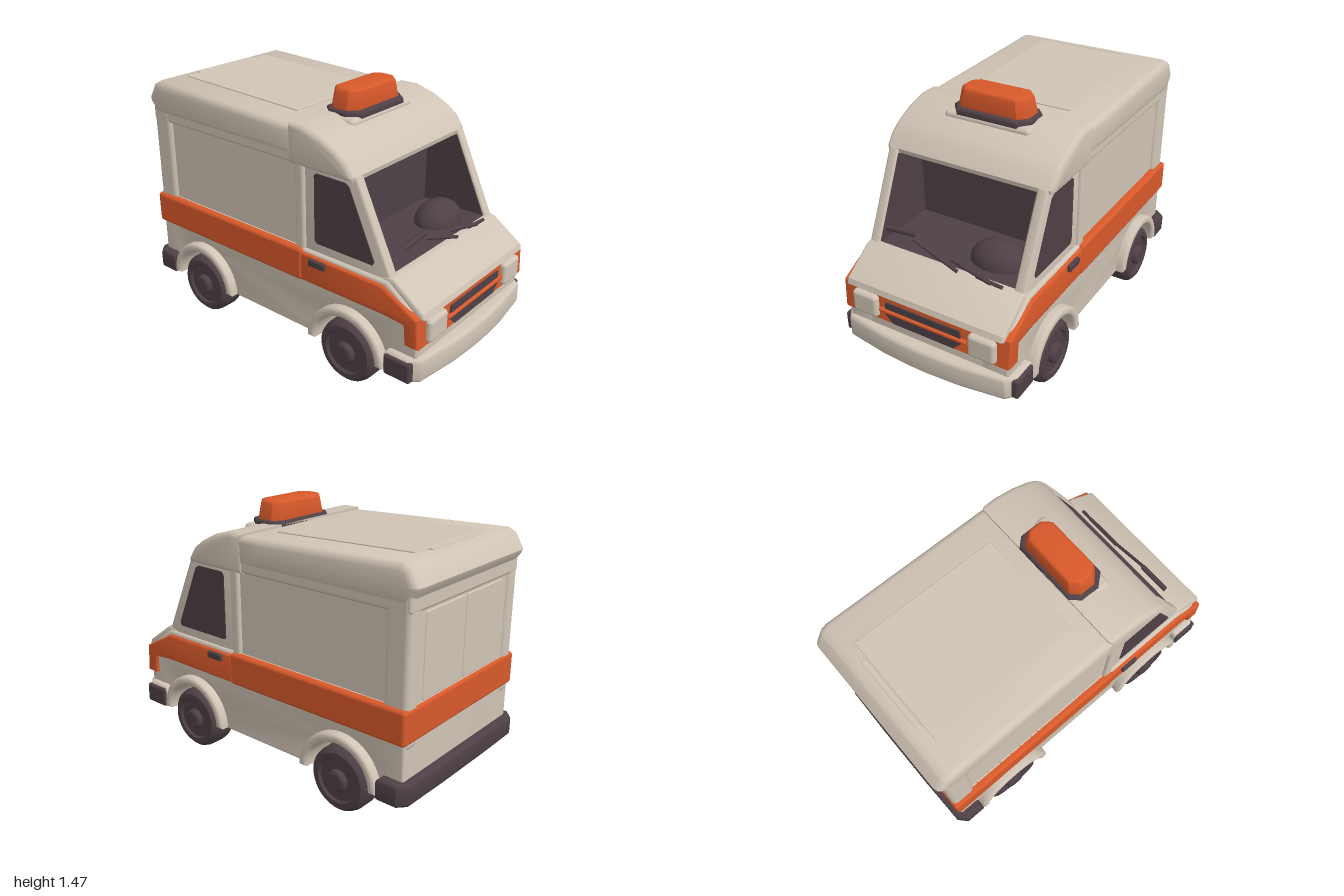
import * as THREE from 'three';
import { toCreasedNormals } from 'three/addons/utils/BufferGeometryUtils.js';
import { RoundedBoxGeometry } from 'three/addons/geometries/RoundedBoxGeometry.js';

const material = (name, color) => Object.assign(new THREE.MeshStandardMaterial({ color }), { name });

export function createModel() {
  const van = new THREE.Group();
  van.name = 'van';
  const cream = material('cream paint', 0xd0c4b5);
  const orange = material('orange paint', 0xd8592a);
  const dark = material('dark trim', 0x4e4046);

  const add = (name, geometry, mat, parent = van) => {
    const mesh = new THREE.Mesh(geometry, mat);
    mesh.name = name;
    parent.add(mesh);
    return mesh;
  };
  const toShape = (pts) => new THREE.Shape(pts.map(([x, y]) => new THREE.Vector2(x, y)));
  const extrude = (shape, depth, bevel) => {
    const g = new THREE.ExtrudeGeometry(shape, {
      depth: depth - 2 * bevel, bevelEnabled: bevel > 0, bevelSize: bevel,
      bevelThickness: bevel, bevelOffset: -bevel, bevelSegments: 3, curveSegments: 24,
    });
    return g.translate(0, 0, bevel - depth / 2);
  };
  // side profile in (z, y), spanning x0 to x1
  const sideways = (shape, x0, x1, bevel = 0.02) => toCreasedNormals(
    extrude(shape, x1 - x0, bevel).rotateY(-Math.PI / 2).translate((x0 + x1) / 2, 0, 0), 0.6);
  // plan outline in (x, z), spanning y0 to y1
  const upward = (pts, y0, y1, bevel = 0.02) => toCreasedNormals(
    extrude(toShape(pts.map(([x, z]) => [x, -z])), y1 - y0, bevel)
      .rotateX(-Math.PI / 2).translate(0, (y0 + y1) / 2, 0), 0.6);
  // rounded box from its limits
  const block = (x0, x1, y0, y1, z0, z1, r = 0.015) =>
    new RoundedBoxGeometry(x1 - x0, y1 - y0, z1 - z0, 3, r)
      .translate((x0 + x1) / 2, (y0 + y1) / 2, (z0 + z1) / 2);
  const mirrorX = (pts) => [...pts, ...pts.map(([x, z]) => [-x, z]).reverse()];
  const axles = [0.51, -0.58];

  // lower body: solid core, plus outer skins with wheel arches
  const lower = [[-0.955, 0.18], [0.93, 0.18], [0.93, 0.53], [0.74, 0.67], [-0.955, 0.67]];
  add('floorAndCore', sideways(toShape(lower), -0.36, 0.36, 0.01), cream);
  const skin = new THREE.Shape();
  skin.moveTo(-0.955, 0.18);
  for (const z of [...axles].reverse()) {
    skin.lineTo(z - 0.205, 0.18);
    skin.absarc(z, 0.18, 0.205, Math.PI, 0, true);
  }
  for (const [z, y] of lower.slice(1)) skin.lineTo(z, y);
  for (const s of [-1, 1]) {
    add('lowerSide', sideways(skin, Math.min(s * 0.34, s * 0.5), Math.max(s * 0.34, s * 0.5), 0.015), cream);
  }

  // cargo box with raised posts and lintels around sunken panels
  add('cargoBox', block(-0.478, 0.478, 0.5, 1.28, -0.948, 0.2, 0.02), cream);
  add('boxLintel', block(-0.497, 0.497, 1.13, 1.24, -0.963, 0.17, 0.02), cream);
  for (const s of [-1, 1]) {
    const rear = block(-0.05, 0.05, 0.45, 1.25, -0.962, -0.82, 0.03).translate(s * 0.449, 0, 0);
    add('rearPost', rear, cream);
    add('frontPost', block(-0.03, 0.03, 0.5, 1.22, 0.14, 0.205, 0.02).translate(s * 0.467, 0, 0), cream);
    add('rearDoor', block(-0.175, 0.175, 0.67, 1.12, -0.953, -0.93, 0.008).translate(s * 0.18, 0, 0), cream);
  }

  // roofs
  add('boxRoof', sideways(toShape([[0.13, 1.17], [0.14, 1.33], [-0.05, 1.338], [-0.9, 1.368],
    [-0.945, 1.345], [-0.995, 1.26], [-0.985, 1.235], [-0.935, 1.17]]), -0.505, 0.505, 0.04), cream);
  const panel = add('roofPanel', block(-0.32, 0.32, -0.006, 0.006, -0.43, 0.43, 0.005), cream);
  panel.position.set(0, 1.352, -0.42);
  panel.rotation.x = 0.035;
  add('roofRearRib', block(-0.22, 0.22, 1.355, 1.374, -0.885, -0.855, 0.005), cream);
  add('cabRoof', sideways(toShape([[0.1, 1.125], [0.52, 1.125], [0.525, 1.15], [0.48, 1.215], [0.42, 1.26],
    [0.32, 1.31], [0.2, 1.345], [0.1, 1.345]]), -0.505, 0.505, 0.03), cream);

  // cab side walls with windows
  const wall = toShape([[0.18, 0.64], [0.76, 0.64], [0.745, 0.69], [0.53, 1.15], [0.18, 1.15]]);
  const pane = toShape([[0.265, 0.735], [0.28, 0.72], [0.64, 0.72], [0.65, 0.74], [0.49, 1.095], [0.465, 1.11],
    [0.28, 1.11], [0.265, 1.095]]);
  const inside = toShape([[0.34, 0.68], [0.735, 0.68], [0.53, 1.125], [0.34, 1.125]]);
  for (const s of [-1, 1]) {
    const cab = new THREE.Group();
    cab.name = 'cabSide';
    van.add(cab);
    add('cabWall', sideways(wall, -0.03, 0.03, 0.012).translate(s * 0.45, 0, 0), cream, cab);
    add('sideWindow', sideways(pane, -0.004, 0.004, 0).translate(s * 0.48, 0, 0), dark, cab);
    add('innerWall', sideways(inside, -0.004, 0.004, 0).translate(s * 0.418, 0, 0), dark, cab);
    add('doorHandle', block(-0.012, 0.012, 0.605, 0.645, 0.26, 0.37, 0.008).translate(s * 0.525, 0, 0), dark, cab);
  }

  // dark cabin seen through the windscreen
  add('cabinBack', block(-0.43, 0.43, 0.66, 1.14, 0.2, 0.34, 0.004), dark);
  add('dashboard', block(-0.42, 0.42, 0.66, 0.69, 0.3, 0.735, 0.004), dark);
  add('cabinCeiling', block(-0.42, 0.42, 1.117, 1.127, 0.3, 0.515, 0.004), dark);
  const cowl = add('instrumentCowl', new THREE.SphereGeometry(1, 24, 12, 0, Math.PI * 2, 0, Math.PI / 2), dark);
  cowl.scale.set(0.16, 0.12, 0.12);
  cowl.position.set(0.22, 0.685, 0.56);

  // wipers
  const rod = (name, a, b, r) => {
    const curve = new THREE.LineCurve3(new THREE.Vector3(...a), new THREE.Vector3(...b));
    add(name, new THREE.TubeGeometry(curve, 1, r, 8), dark);
  };
  rod('wiperArm', [0.1, 0.69, 0.76], [-0.18, 0.785, 0.745], 0.01);
  rod('wiperBlade', [-0.36, 0.795, 0.735], [-0.17, 0.81, 0.73], 0.016);
  rod('wiperArm', [0.37, 0.69, 0.76], [0.21, 0.7, 0.755], 0.01);
  rod('wiperBlade', [0.3, 0.69, 0.76], [0.05, 0.74, 0.74], 0.012);

  // orange band around the box, sides and nose
  add('boxStripe', block(-0.522, 0.522, 0.485, 0.67, -0.968, 0.2, 0.02), orange);
  add('cabStripe', sideways(toShape([[0.19, 0.49], [0.74, 0.49], [0.855, 0.48], [0.865, 0.37], [0.945, 0.37],
    [0.935, 0.535], [0.72, 0.65], [0.19, 0.655]]), -0.518, 0.518, 0.014), orange);

  // hood lid, grille and headlights
  add('hood', sideways(toShape([[0.66, 0.6], [0.93, 0.51], [0.955, 0.53], [0.945, 0.56], [0.77, 0.685],
    [0.73, 0.69], [0.66, 0.67]]), -0.485, 0.485, 0.015), cream);
  const grille = extrude(toShape([[-0.19, 0.375], [0.19, 0.375], [0.24, 0.425], [0.23, 0.495], [-0.23, 0.495],
    [-0.24, 0.425]]), 0.009, 0);
  add('grille', grille.translate(0, 0, 0.947), dark);
  add('grilleBar', block(-0.27, 0.27, 0.435, 0.455, 0.94, 0.965, 0.008), orange);
  for (const s of [-1, 1]) {
    add('headlight', block(-0.08, 0.08, 0.38, 0.512, 0.92, 0.97, 0.022).translate(s * 0.362, 0, 0), cream);
  }

  // bumpers
  add('frontBumper', upward(mirrorX([[0.535, 0.76], [0.535, 0.9], [0.49, 0.955], [0.24, 0.99], [0.05, 1]]),
    0.17, 0.312, 0.025), cream);
  add('rearBumper', upward(mirrorX([[0.2, -1], [0.5, -0.995], [0.55, -0.95], [0.55, -0.83], [0.47, -0.83],
    [0.47, -0.9]]), 0.17, 0.295, 0.022), dark);
  for (const s of [-1, 1]) {
    add('bumperCorner', block(-0.025, 0.025, 0.18, 0.295, 0.765, 0.925, 0.015).translate(s * 0.525, 0, 0), dark);
  }

  // wheels, axles and fender flares
  const tyre = new THREE.LatheGeometry([[0, -0.08], [0.15, -0.08], [0.172, -0.065], [0.178, -0.04], [0.178, 0.04],
    [0.172, 0.062], [0.152, 0.08], [0.125, 0.08], [0.115, 0.066], [0.06, 0.066], [0.056, 0.09], [0.045, 0.098],
    [0, 0.098]].map(([r, y]) => new THREE.Vector2(r, y)), 40);
  const wheelGeometry = toCreasedNormals(tyre.rotateZ(-Math.PI / 2), 0.6);
  const flare = new THREE.Shape();
  flare.absarc(0, 0, 0.25, 0, Math.PI, false);
  flare.absarc(0, 0, 0.2, Math.PI, 0, true);
  const flareGeometry = sideways(flare, -0.055, 0.055, 0.018);
  for (const z of axles) {
    add('axle', new THREE.CylinderGeometry(0.036, 0.036, 0.8, 16).rotateZ(Math.PI / 2).translate(0, 0.168, z), dark);
    for (const s of [-1, 1]) {
      const wheel = add('wheel', wheelGeometry, dark);
      wheel.position.set(s * 0.458, 0.178, z);
      if (s < 0) wheel.rotation.y = Math.PI;
      add('fender', flareGeometry, cream).position.set(s * 0.498, 0.19, z);
    }
  }

  // roof beacon
  add('beaconSeat', block(-0.26, 0.26, 1.28, 1.335, 0.09, 0.33, 0.025), cream);
  add('beaconBase', upward(mirrorX([[0.19, 0.1], [0.235, 0.15], [0.235, 0.26], [0.18, 0.325]]),
    1.3, 1.36, 0.015), dark);
  const lamp = upward(mirrorX([[0.17, 0.115], [0.217, 0.16], [0.217, 0.25], [0.17, 0.3]]), 1.345, 1.465, 0.018);
  const p = lamp.attributes.position;
  for (let i = 0; i < p.count; i++) {
    const t = 1 - 0.12 * (p.getY(i) - 1.345) / 0.12;
    p.setX(i, p.getX(i) * t);
    p.setZ(i, 0.207 + (p.getZ(i) - 0.207) * t);
  }
  add('beaconLamp', toCreasedNormals(lamp, 0.6), orange);
  return van;
}
